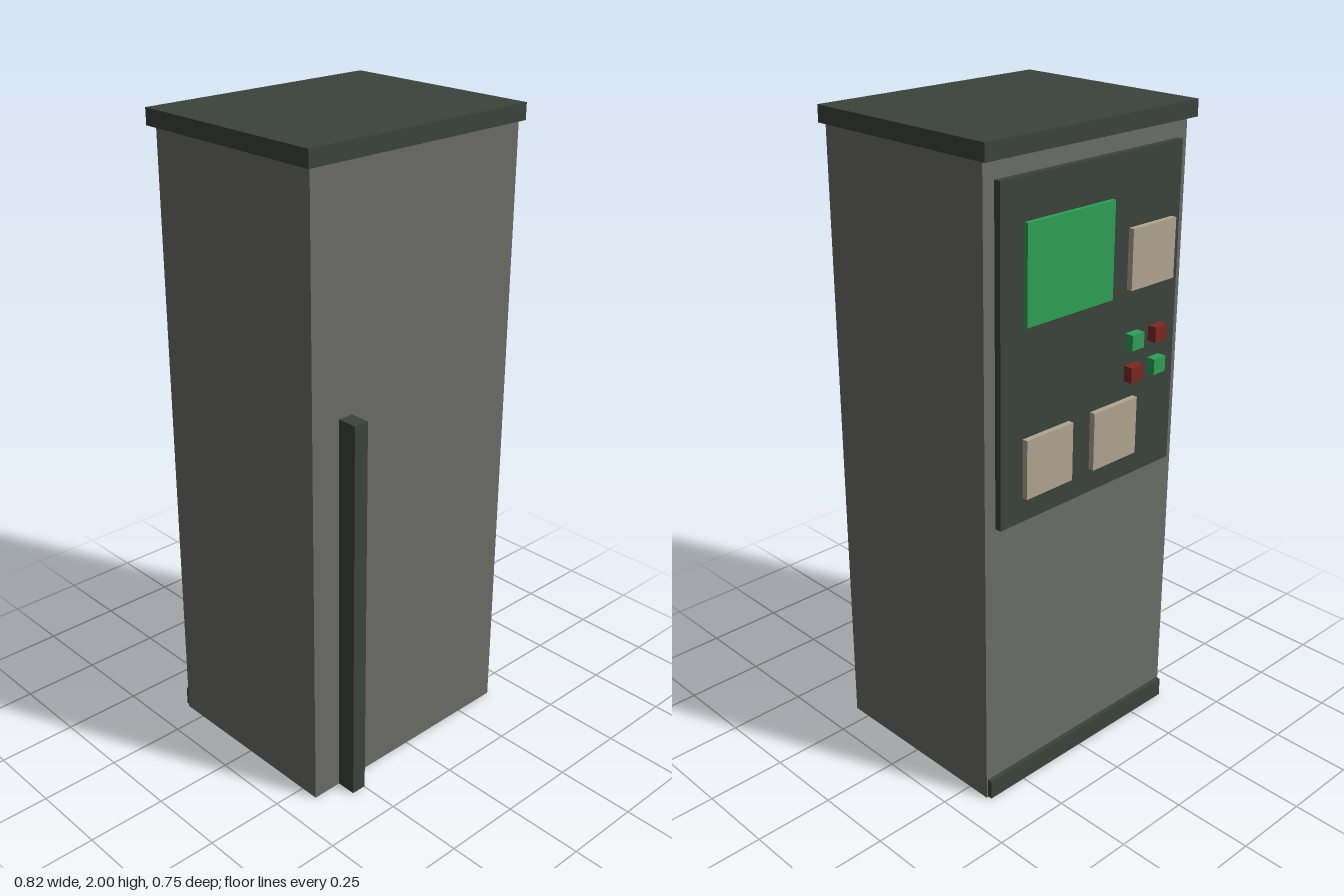
import * as THREE from 'three';

const paint = (name, color) => {
  const m = new THREE.MeshStandardMaterial({ color });
  m.name = name;
  return m;
};

export function createModel() {
  const group = new THREE.Group();
  const grey = paint('cabinet grey', 0x6b6d67);
  const dark = paint('dark trim', 0x3c433c);
  const green = paint('green', 0x2ea056);
  const red = paint('red', 0x7d2822);
  const beige = paint('beige', 0xb0a592);

  // box given by its limits on each axis
  const block = (name, material, [x0, x1], [y0, y1], [z0, z1]) => {
    const mesh = new THREE.Mesh(new THREE.BoxGeometry(x1 - x0, y1 - y0, z1 - z0), material);
    mesh.position.set((x0 + x1) / 2, (y0 + y1) / 2, (z0 + z1) / 2);
    mesh.name = name;
    group.add(mesh);
  };

  // cabinet, overhanging lid and the conduit on the front
  block('cabinet', grey, [-0.395, 0.395], [0, 1.95], [-0.325, 0.31]);
  block('lid', dark, [-0.41, 0.41], [1.95, 2], [-0.35, 0.323]);
  block('conduit', dark, [-0.297, -0.248], [0, 1.24], [0.31, 0.373]);

  // kick plate and control panel on the back
  block('kickPlate', dark, [-0.39, 0.39], [0.003, 0.065], [-0.34, -0.325]);
  block('controlPanel', dark, [-0.355, 0.355], [0.91, 1.895], [-0.346, -0.325]);
  block('screen', green, [-0.065, 0.27], [1.49, 1.775], [-0.36, -0.346]);

  // square plates: one beside the screen, two below it
  for (const [x, y] of [[-0.23, 1.59], [0.18, 1.075], [-0.09, 1.075]]) {
    block('plate', beige, [x - 0.091, x + 0.091], [y - 0.09, y + 0.09], [-0.364, -0.346]);
  }

  // two by two buttons in alternating colours
  [-0.165, -0.265].forEach((x, i) => [1.345, 1.245].forEach((y, j) => {
    block('button', (i + j) % 2 ? red : green,
      [x - 0.025, x + 0.025], [y - 0.024, y + 0.024], [-0.375, -0.346]);
  }));

  return group;
}
